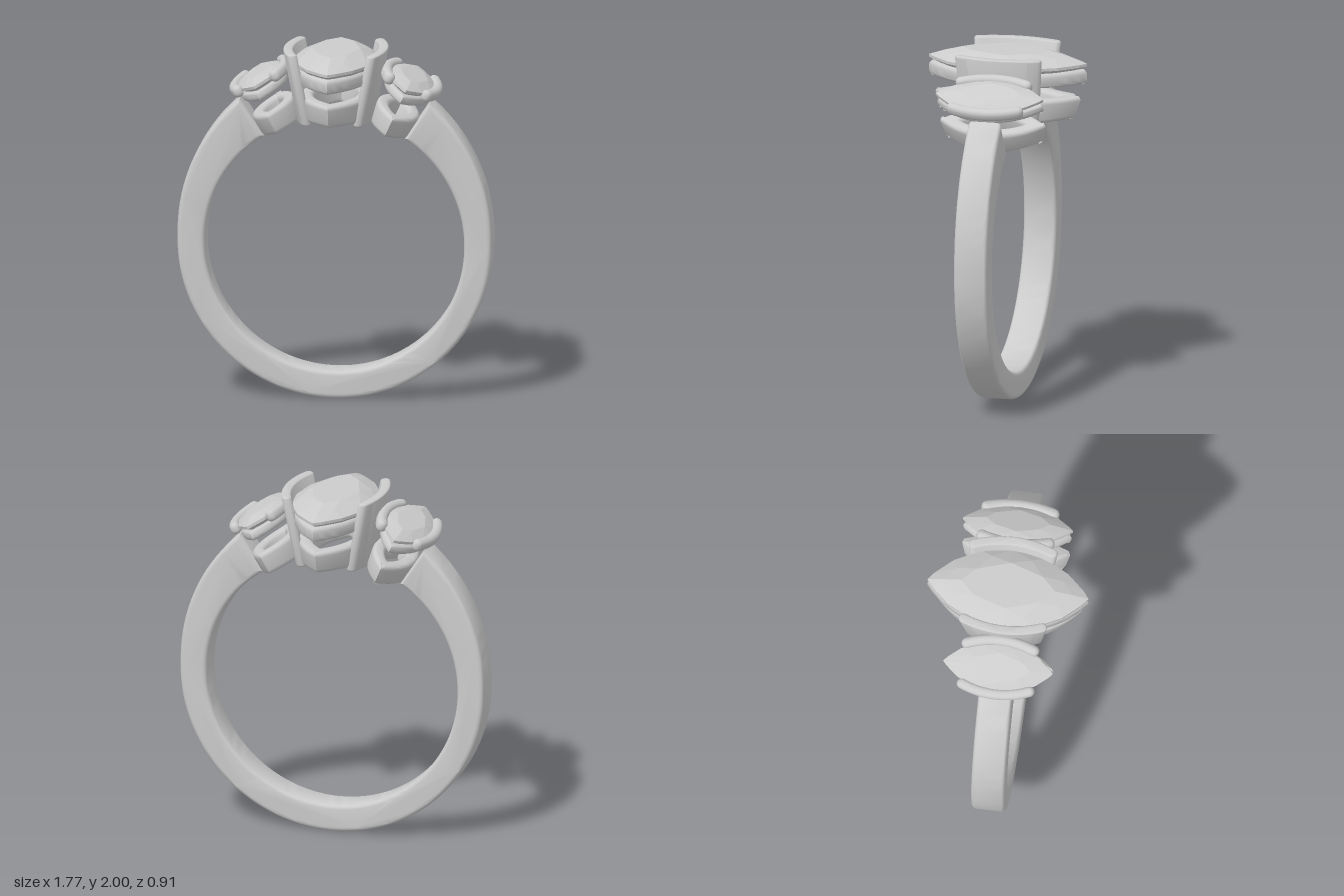
import * as THREE from 'three';
import { toCreasedNormals } from 'three/addons/utils/BufferGeometryUtils.js';
import { ConvexGeometry } from 'three/addons/geometries/ConvexGeometry.js';

const CENTRE_Y = 0.885, INNER_R = 0.73;
const metal = new THREE.MeshStandardMaterial({ color: 0xcccccc });
const gem = new THREE.MeshStandardMaterial({ color: 0xcccccc, flatShading: true });

function mesh(name, geometry, material = metal) {
  const m = new THREE.Mesh(geometry, material);
  m.name = name;
  return m;
}

// Half width of a pointed oval (half width a, half length b) at position z
function ovalX(a, b, z) {
  const R = (a * a + b * b) / (2 * a);
  return Math.sqrt(R * R - z * z) - (R - a);
}

// Closed outline of the pointed oval, n points per side
function oval(a, b, n) {
  const pts = [];
  for (const s of [1, -1])
    for (let i = 0; i < n; i++) {
      const z = -s * b * Math.cos((Math.PI * i) / n);
      pts.push(new THREE.Vector2(s * ovalX(a, b, z), z));
    }
  return pts;
}

// Upright extrusion from y0 to y1 with rounded edges; rule(v) may move vertices
function extrudeUp(shape, y0, y1, bevel, rule) {
  const g = new THREE.ExtrudeGeometry(shape, {
    depth: y1 - y0 - 2 * bevel, steps: 1, bevelEnabled: true,
    bevelThickness: bevel, bevelSize: bevel, bevelOffset: -bevel, bevelSegments: 4,
  });
  g.rotateX(-Math.PI / 2).translate(0, y0 + bevel, 0);
  if (rule) {
    const p = g.attributes.position, v = new THREE.Vector3();
    for (let i = 0; i < p.count; i++) {
      v.fromBufferAttribute(p, i);
      rule(v);
      p.setXYZ(i, v.x, v.y, v.z);
    }
  }
  return toCreasedNormals(g, 0.65);
}

// Pointed oval ring
function rail(a, b, wall, y0, y1, bevel, rule) {
  const shape = new THREE.Shape(oval(a, b, 24));
  shape.holes.push(new THREE.Path(oval(a - wall, b - wall * 1.7, 24)));
  return extrudeUp(shape, y0, y1, bevel, rule);
}

// Base rail: narrows downwards, its underside follows the finger hole
function baseRail(a, b) {
  const top = 0.86;
  return rail(a, b, 0.075, INNER_R, top, 0.025, (v) => {
    const t = (v.y - INNER_R) / (top - INNER_R);
    const k = 0.9 + 0.1 * t;
    v.x *= k;
    v.z *= k;
    v.y = THREE.MathUtils.lerp(Math.sqrt(INNER_R ** 2 - v.x ** 2), top, t);
  });
}

// Bar with round ends that hugs the side of a pointed oval
function hugBar(a, b, halfLength, thick, y0, y1, bevel, rule) {
  const r = thick / 2, n = 16, outer = [], inner = [];
  const R = (a * a + b * b) / (2 * a), cx = a - R;
  const end = Math.asin((halfLength - r) / R);
  const at = (rad, ang) => new THREE.Vector2(cx + rad * Math.cos(ang), rad * Math.sin(ang));
  for (let i = 0; i <= n; i++) {
    const ang = -end + (2 * end * i) / n;
    outer.push(at(R + r, ang));
    inner.unshift(at(R - r, ang));
  }
  const cap = (ang, start) => {
    const c = at(R, ang), pts = [];
    for (let i = 1; i < 8; i++) {
      const q = start + (Math.PI * i) / 8;
      pts.push(new THREE.Vector2(c.x + r * Math.cos(q), c.y + r * Math.sin(q)));
    }
    return pts;
  };
  const pts = [...outer, ...cap(end, end), ...inner, ...cap(-end, Math.PI - end)];
  return extrudeUp(new THREE.Shape(pts), y0, y1, bevel, rule);
}

// Faceted stone: table, crown, girdle, pavilion and culet
function stone(a, b, girdle, crown, depth) {
  const pts = [];
  const ring = (k, y, n) => {
    for (const p of oval(a * k, b * k, n)) pts.push(new THREE.Vector3(p.x, y, p.y));
  };
  ring(0.58, girdle + crown, 4);
  ring(0.8, girdle + crown * 0.6, 5);
  ring(1, girdle + 0.008, 8);
  ring(1, girdle - 0.008, 8);
  ring(0.6, girdle - depth * 0.5, 5);
  pts.push(new THREE.Vector3(0, girdle - depth, 0));
  return new ConvexGeometry(pts);
}

// Open hoop that thickens towards the shoulders
function band() {
  const start = 33, n = 96, outer = [], inner = [];
  for (let i = 0; i <= n; i++) {
    const deg = start + ((360 - 2 * start) * i) / n;
    const fromTop = Math.min(deg, 360 - deg);
    const grow = Math.max(0, (90 - fromTop) / (90 - start)) ** 1.4;
    const ang = THREE.MathUtils.degToRad(90 - deg);
    const at = (r) => new THREE.Vector2(r * Math.cos(ang), r * Math.sin(ang));
    outer.push(at(0.885 + 0.095 * grow));
    inner.unshift(at(INNER_R));
  }
  const bevel = 0.025, width = 0.19;
  const g = new THREE.ExtrudeGeometry(new THREE.Shape([...outer, ...inner]), {
    depth: width - 2 * bevel, bevelEnabled: true, bevelThickness: bevel,
    bevelSize: bevel, bevelOffset: -bevel, bevelSegments: 4,
  });
  g.translate(0, 0, -width / 2 + bevel);
  return toCreasedNormals(g, 0.65);
}

export function createModel() {
  const model = new THREE.Group();
  model.name = 'threeStoneRing';
  // Everything is placed by its distance from the middle of the hoop
  const hoop = new THREE.Group();
  hoop.name = 'hoop';
  hoop.position.y = CENTRE_Y;
  model.add(hoop);
  hoop.add(mesh('band', band()));

  // Centre setting
  const centre = new THREE.Group();
  centre.name = 'centreSetting';
  centre.add(
    mesh('centreStone', stone(0.235, 0.455, 1.045, 0.065, 0.185), gem),
    mesh('centreUpperRail', rail(0.22, 0.455, 0.06, 0.935, 1.02, 0.025)),
    mesh('centreBaseRail', baseRail(0.2, 0.425)),
  );
  // Tall side walls lean outwards and hold the centre stone
  const wallGeo = hugBar(0.267, 0.5, 0.25, 0.056, 0.7, 1.115, 0.012, (v) => {
    const t = (v.y - 0.7) / 0.415;
    v.x -= 0.078 * (1 - t);
    v.z *= 0.85 + 0.15 * Math.min(1, t * 1.5);
  });
  for (const side of [1, -1]) {
    const wall = mesh(side > 0 ? 'leftWall' : 'rightWall', wallGeo);
    if (side < 0) wall.rotation.y = Math.PI;
    centre.add(wall);
  }
  hoop.add(centre);

  // Side settings, tilted outwards
  const sideStone = stone(0.145, 0.31, 1.03, 0.035, 0.105);
  const sideRail = rail(0.135, 0.305, 0.05, 0.945, 1.0, 0.02);
  const sideBase = baseRail(0.13, 0.31);
  const prongGeo = hugBar(0.152, 0.36, 0.22, 0.06, 0.995, 1.062, 0.026);
  for (const side of [1, -1]) {
    const setting = new THREE.Group();
    setting.name = side > 0 ? 'leftSetting' : 'rightSetting';
    const inner = mesh('innerProng', prongGeo);
    const outer = mesh('outerProng', prongGeo);
    (side > 0 ? inner : outer).rotation.y = Math.PI;
    setting.add(
      mesh('sideStone', sideStone, gem),
      mesh('sideUpperRail', sideRail),
      mesh('sideBaseRail', sideBase),
      inner, outer,
    );
    setting.rotation.z = -side * THREE.MathUtils.degToRad(24.5);
    hoop.add(setting);
  }
  return model;
}
